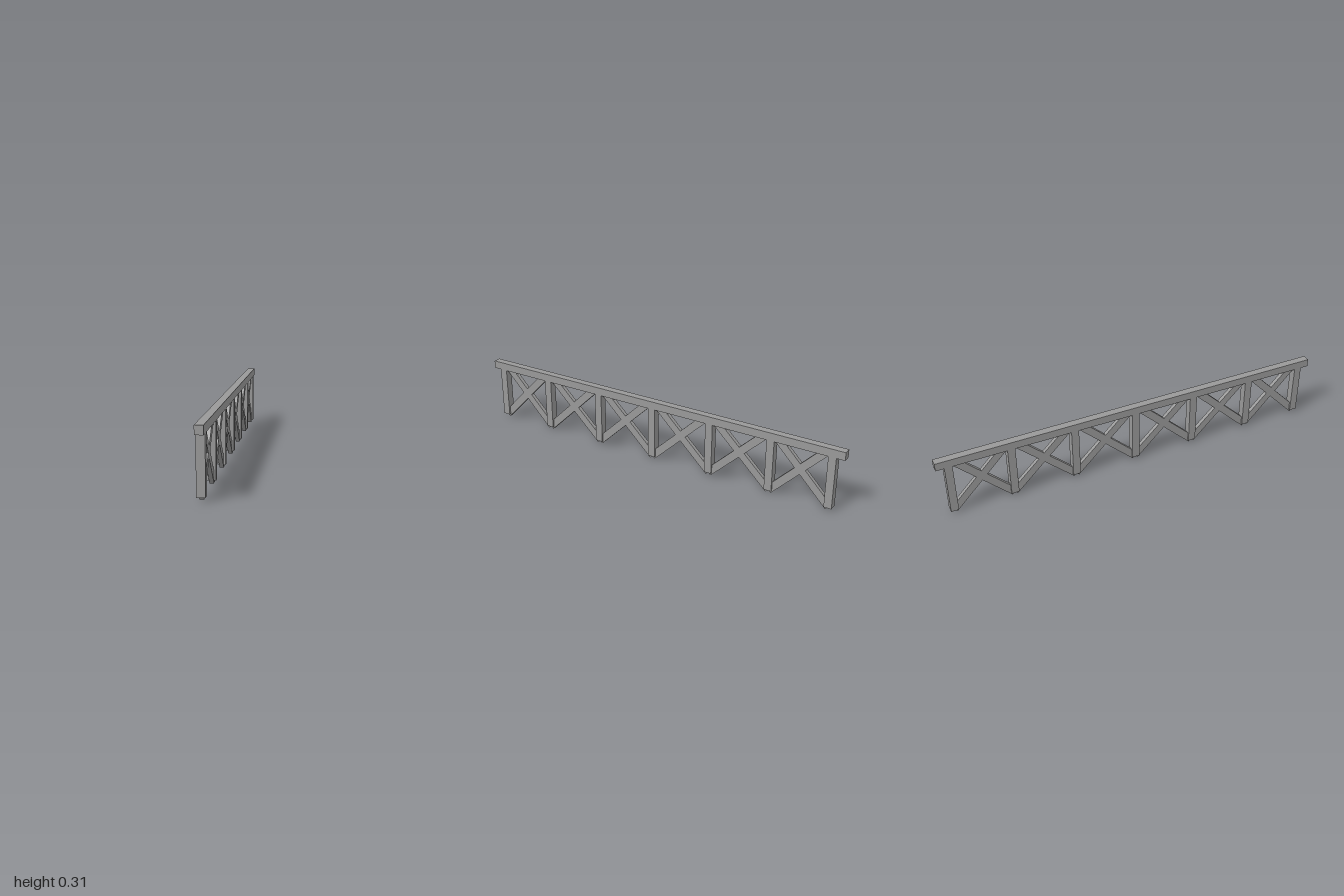
import * as THREE from 'three';

export function createModel() {
  const group = new THREE.Group();
  const material = new THREE.MeshStandardMaterial({ color: 0x999999, flatShading: true });
  const T = 0.038; // timber thickness

  function addBox(name, w, h, d, y, z) {
    const mesh = new THREE.Mesh(new THREE.BoxGeometry(w, h, d), material);
    mesh.name = name;
    mesh.position.set(0, y, z);
    group.add(mesh);
    return mesh;
  }

  // top rail
  addBox('topRail', T, 0.04, 2, 0.295, 0);

  // upright posts, butted under the rail
  const posts = [-0.94, -0.64, -0.32, 0, 0.32, 0.64, 0.94];
  posts.forEach((z) => addBox('post', T, 0.26, T, 0.145, z));

  // narrower diagonal brace from a post foot through the bay centre up into the rail
  function addBrace(zFoot, zOther) {
    const yFoot = 0.0145, yTop = 0.298, yCentre = 0.168;
    const rise = yTop - yFoot;
    const reach = ((zOther - zFoot) / 2) * rise / (yCentre - yFoot);
    const brace = addBox('brace', 0.02, Math.hypot(reach, rise), T,
      (yFoot + yTop) / 2, zFoot + reach / 2);
    brace.rotation.x = Math.atan2(reach, rise);
  }

  // crossed pair in every bay
  for (let i = 0; i < posts.length - 1; i++) {
    addBrace(posts[i], posts[i + 1]);
    addBrace(posts[i + 1], posts[i]);
  }
  return group;
}
